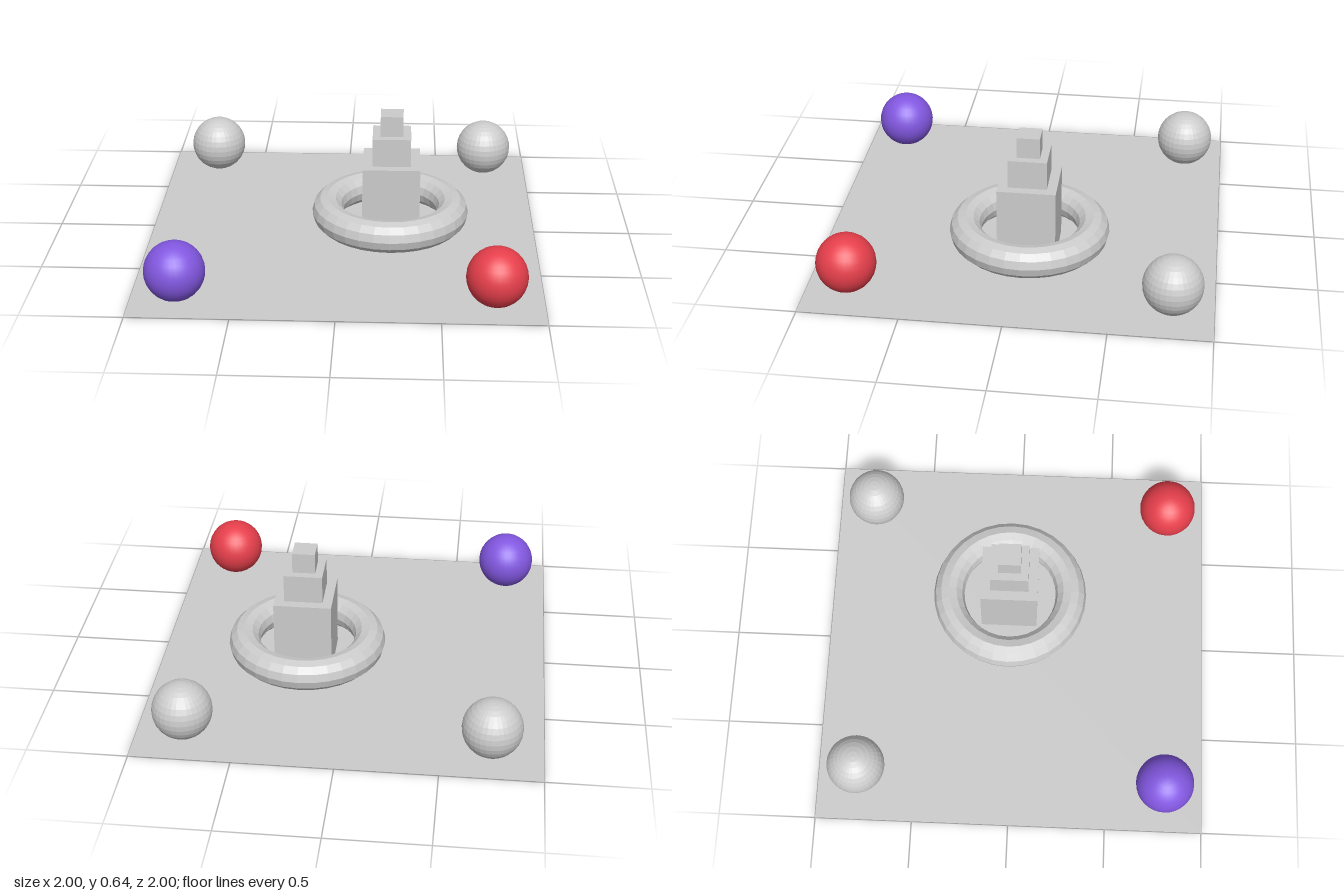
import * as THREE from 'three';

const mat = (name, color, opts = {}) => {
  const m = new THREE.MeshStandardMaterial({ color, ...opts });
  m.name = name;
  return m;
};

export function createModel() {
  const model = new THREE.Group();
  model.name = 'courtyard';
  const grey = mat('grey', 0xcccccc, { flatShading: true, side: THREE.DoubleSide });
  const red = mat('red', 0xe63f4b);
  const purple = mat('purple', 0x8257e0);

  const add = (name, geometry, material, x, y, z) => {
    const mesh = new THREE.Mesh(geometry, material);
    mesh.name = name;
    mesh.position.set(x, y, z);
    model.add(mesh);
    return mesh;
  };

  // Thin ground sheet; the balls poke just below it
  add('ground', new THREE.PlaneGeometry(2, 2).rotateX(-Math.PI / 2), grey, 0, 0.003, 0);

  // Corner balls: faceted grey at the back, smooth coloured at the front
  const ball = new THREE.SphereGeometry(0.149, 32, 16);
  add('backRightBall', ball, grey, -0.745, 0.149, -0.795);
  add('backLeftBall', ball, grey, 0.765, 0.149, -0.795);
  add('frontRightBall', ball, purple, -0.78, 0.149, 0.8);
  add('frontLeftBall', ball, red, 0.765, 0.149, 0.8);

  // Basin ring around the tower
  const cx = 0.245, cz = -0.04;
  add('basinRing', new THREE.TorusGeometry(0.328, 0.082, 12, 32).rotateX(Math.PI / 2), grey, cx, 0.098, cz);

  // Stepped tower: [name, width, bottom, top]
  const tiers = [
    ['lowerTier', 0.297, 0.003, 0.386],
    ['middleTier', 0.198, 0.386, 0.536],
    ['upperTier', 0.117, 0.536, 0.645],
  ];
  for (const [name, w, y0, y1] of tiers) {
    add(name, new THREE.BoxGeometry(w, y1 - y0, w), grey, cx + 0.005, (y0 + y1) / 2, cz);
  }
  return model;
}
